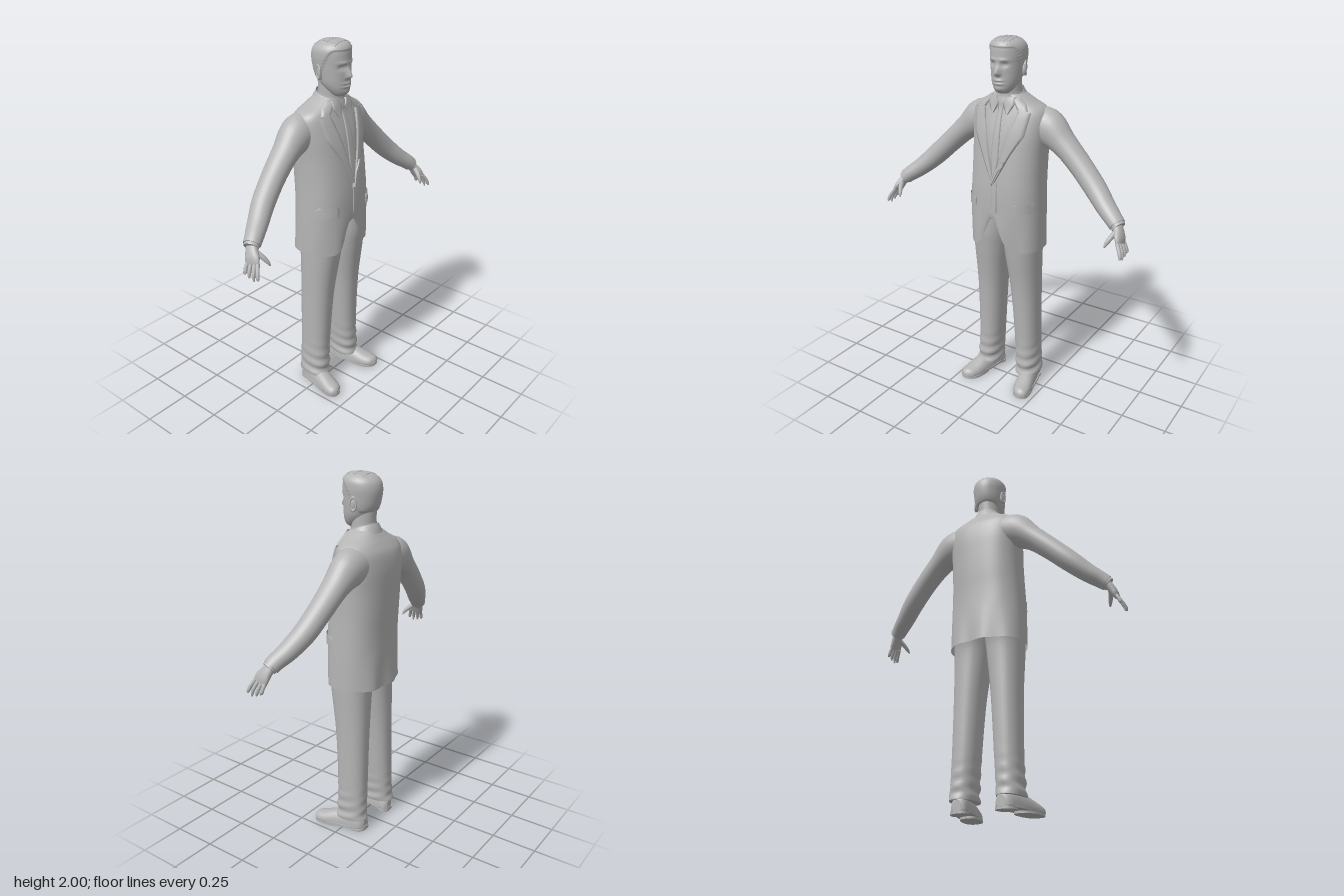
import * as THREE from 'three';

const cloth = new THREE.MeshStandardMaterial({ color: 0xb4b4b4, side: THREE.DoubleSide });
cloth.name = 'plain grey';
const V = (x, y, z) => new THREE.Vector3(x, y, z);
const bell = (d, s) => Math.exp(-(d * d) / (s * s));
const step = THREE.MathUtils.smoothstep;

// Smoothly interpolate every entry of a key table; t runs 0..1
function sample(keys, t) {
  const f = t * (keys.length - 1), i = Math.min(Math.floor(f), keys.length - 2), k = f - i;
  const K = j => keys[Math.max(0, Math.min(keys.length - 1, j))];
  return K(i).map((b, n) => {
    const a = K(i - 1)[n], c = K(i + 1)[n], d = K(i + 2)[n];
    return b + 0.5 * k * (c - a + k * (2 * a - 5 * b + 4 * c - d + k * (3 * (b - c) + d - a)));
  });
}

// Key values at a given height
function atHeight(keys, y) {
  let lo = 0, hi = 1;
  for (let i = 0; i < 24; i++) {
    const m = (lo + hi) / 2;
    if (sample(keys, m)[0] < y) lo = m; else hi = m;
  }
  return sample(keys, lo);
}

// Skin a list of point rings, with optional end caps
function loft(rings, capStart, capEnd) {
  const n = rings[0].length, pts = rings.flat(), idx = [];
  for (let j = 0; j < rings.length - 1; j++) for (let i = 0; i < n; i++) {
    const a = j * n + i, b = j * n + (i + 1) % n;
    idx.push(a, a + n, b, b, a + n, b + n);
  }
  const cap = (ring, flip) => {
    const mid = ring.reduce((s, p) => s.add(p), V(0, 0, 0)).divideScalar(n), o = pts.length;
    pts.push(...ring, mid);
    for (let i = 0; i < n; i++) {
      const a = o + i, b = o + (i + 1) % n;
      idx.push(o + n, flip ? b : a, flip ? a : b);
    }
  };
  if (capStart) cap(rings[0], false);
  if (capEnd) cap(rings[rings.length - 1], true);
  const g = new THREE.BufferGeometry().setFromPoints(pts);
  g.setIndex(idx);
  g.computeVertexNormals();
  return g;
}

function ring(c, u, v, n, seg) {
  const pw = q => Math.sign(q) * Math.pow(Math.abs(q), 2 / n);
  return Array.from({ length: seg }, (_, i) => {
    const a = i / seg * Math.PI * 2;
    return c.clone().addScaledVector(u, pw(Math.cos(a))).addScaledVector(v, pw(Math.sin(a)));
  });
}

// Upright form; keys are [y, half width, front z, back z, centre x]
function column(keys, { rows = 24, seg = 32, n = 2.3, caps = [1, 1], deform } = {}) {
  const rings = [];
  for (let j = 0; j <= rows; j++) {
    const [y, rx, zf, zb, cx = 0] = sample(keys, j / rows);
    const r = ring(V(cx, y, (zf + zb) / 2), V(rx, 0, 0), V(0, 0, (zf - zb) / 2), n, seg);
    if (deform) r.forEach(deform);
    rings.push(r);
  }
  return loft(rings, ...caps);
}

// Limb along a path; keys are [x, y, z, radius across, radius along ref]
function limb(keys, { rows = 16, seg = 18, n = 2, ref = V(0, 0, 1), deform } = {}) {
  const rings = [], pos = t => V(...sample(keys, t).slice(0, 3));
  for (let j = 0; j <= rows; j++) {
    const t = j / rows, k = sample(keys, t);
    const dir = pos(Math.min(1, t + 0.01)).sub(pos(Math.max(0, t - 0.01))).normalize();
    const u = dir.clone().cross(ref).normalize(), v = u.clone().cross(dir);
    const r = ring(pos(t), u.multiplyScalar(k[3]), v.multiplyScalar(k[4]), n, seg);
    if (deform) r.forEach(deform);
    rings.push(r);
  }
  return loft(rings, true, true);
}

function mirrored(g) {
  const m = g.clone().scale(-1, 1, 1), a = m.index.array;
  for (let i = 0; i < a.length; i += 3) [a[i], a[i + 1]] = [a[i + 1], a[i]];
  m.computeVertexNormals();
  return m;
}

const jacketKeys = [
  [0.88, 0.212, 0.138, -0.178], [0.98, 0.21, 0.142, -0.176], [1.1, 0.207, 0.143, -0.174],
  [1.2, 0.204, 0.141, -0.176], [1.3, 0.202, 0.132, -0.182], [1.42, 0.204, 0.116, -0.186],
  [1.52, 0.212, 0.098, -0.186], [1.6, 0.215, 0.074, -0.174], [1.645, 0.195, 0.058, -0.15],
  [1.68, 0.135, 0.05, -0.125], [1.715, 0.08, 0.04, -0.1]];
const headKeys = [
  [1.722, 0.03, 0.068, 0.01], [1.735, 0.045, 0.082, -0.01], [1.76, 0.062, 0.09, -0.045],
  [1.79, 0.074, 0.092, -0.075], [1.83, 0.081, 0.093, -0.098], [1.88, 0.086, 0.094, -0.11],
  [1.92, 0.089, 0.094, -0.112], [1.955, 0.085, 0.09, -0.102], [1.98, 0.067, 0.075, -0.075],
  [1.994, 0.035, 0.045, -0.04], [1.996, 0.008, 0.012, -0.01]];

const jacketZ = (x, y) => {
  const [, rx, zf, zb] = atHeight(jacketKeys, y), q = Math.min(1, Math.abs(x / rx));
  return (zf + zb) / 2 + (zf - zb) / 2 * Math.pow(1 - Math.pow(q, 2.5), 1 / 2.5);
};

// Panel lying on the jacket front; rows are [y, x0, x1], running downward
function panel(rows, lift) {
  const cols = [0, 0, 0.2, 0.4, 0.6, 0.8, 1, 1], n = cols.length, pts = [], idx = [];
  const steps = (rows.length - 1) * 4;
  for (let j = 0; j <= steps; j++) {
    const f = j / 4, i = Math.min(Math.floor(f), rows.length - 2);
    const [y, a, b] = rows[i].map((p, k) => p + (rows[i + 1][k] - p) * (f - i));
    cols.forEach((c, k) => {
      const x = a + (b - a) * c;
      pts.push(V(x, y, jacketZ(x, y) + (k === 0 || k === n - 1 ? -0.002 : lift)));
    });
  }
  for (let j = 0; j < steps; j++) for (let k = 0; k < n - 1; k++) {
    const o = j * n + k;
    idx.push(o, o + n, o + 1, o + 1, o + n, o + n + 1);
  }
  const g = new THREE.BufferGeometry().setFromPoints(pts);
  g.setIndex(idx);
  g.computeVertexNormals();
  return g;
}

// Facial relief and raised hair
function sculpt(p) {
  const { x, y, z } = p, ax = Math.abs(x);
  if (z > 0.03) {
    p.z += 0.027 * bell(x, 0.014) * bell(y - 1.826, y > 1.826 ? 0.036 : 0.011);
    p.z -= 0.011 * bell(ax - 0.034, 0.017) * bell(y - 1.87, 0.012);
    p.z += 0.004 * bell(ax - 0.033, 0.008) * bell(y - 1.868, 0.006);
    p.z += 0.005 * bell(ax - 0.03, 0.03) * bell(y - 1.893, 0.009);
    p.z += 0.007 * bell(x, 0.026) * (bell(y - 1.79, 0.008) + bell(y - 1.774, 0.007));
    p.z -= 0.005 * bell(x, 0.026) * bell(y - 1.782, 0.003);
    p.z += 0.005 * bell(x, 0.025) * bell(y - 1.747, 0.012);
  }
  const line = 1.8 + 0.15 * step(z, -0.05, 0.06), grow = 1 + 0.06 * step(y, line, line + 0.01);
  p.x *= grow;
  p.z *= grow;
}

const crownY = (x, z) => {
  for (let y = 1.996; y > 1.85; y -= 0.001) {
    const [, rx, zf, zb] = atHeight(headKeys, y);
    if ((x / rx) ** 2 + ((z - (zf + zb) / 2) / ((zf - zb) / 2)) ** 2 < 1.12) return y;
  }
  return 1.85;
};

export function createModel() {
  const model = new THREE.Group();
  const add = (name, g) => {
    const m = new THREE.Mesh(g, cloth);
    m.name = name;
    model.add(m);
  };
  const pair = (name, g) => { add('left' + name, g); add('right' + name, mirrored(g)); };

  // Jacket body, with the front hem cut away in a curve
  add('jacket', column(jacketKeys, { rows: 44, seg: 72, n: 2.5, caps: [0, 1], deform: p => {
    if (p.y > 1.1) return;
    const low = 1.1 - p.y;
    if (p.z > 0) p.y += low * 0.85 * bell(p.x + 0.01, 0.035 + low * 0.12);
    p.z += 0.03 * low * Math.sin(p.x * 40);
  } }));
  add('shirt', panel([[1.7, -0.06, 0.06], [1.65, -0.1, 0.1], [1.5, -0.06, 0.06], [1.28, -0.005, 0.005]], 0.004));
  add('tie', panel([[1.675, -0.022, 0.022], [1.635, -0.012, 0.012], [1.5, -0.02, 0.02], [1.38, -0.022, 0.022], [1.28, -0.004, 0.004]], 0.009));
  pair('Lapel', panel([[1.635, 0.1, 0.16], [1.6, 0.09, 0.157], [1.52, 0.066, 0.145], [1.42, 0.04, 0.085], [1.34, 0.016, 0.045], [1.26, -0.006, 0.002]], 0.012));
  pair('CollarFront', panel([[1.7, 0.06, 0.09], [1.67, 0.08, 0.128], [1.642, 0.1, 0.145]], 0.012));
  pair('ShirtCollar', panel([[1.705, 0.03, 0.07], [1.67, 0.012, 0.075], [1.62, 0.04, 0.046]], 0.014));
  add('lapelFold', panel([[1.385, 0.045, 0.06], [1.36, 0.03, 0.058], [1.33, 0.01, 0.03], [1.25, -0.012, -0.008]], 0.018));
  add('frontOverlap', panel([[1.27, -0.01, 0.02], [1.1, -0.012, 0.02]], 0.004));
  pair('PocketFlap', panel([[1.165, 0.12, 0.19], [1.15, 0.115, 0.2], [1.11, 0.118, 0.2]], 0.01));

  // Standing collar, higher at the nape
  const collar = (keys, tilt) => column(keys, { rows: 6, caps: [0, 0], n: 2, deform: p => { p.y -= (p.z + 0.02) * tilt; } });
  add('jacketCollar', collar([[1.67, 0.105, 0.066, -0.115], [1.7, 0.088, 0.062, -0.105], [1.725, 0.074, 0.054, -0.094]], 0.3));
  add('shirtCollarBand', collar([[1.68, 0.072, 0.058, -0.09], [1.735, 0.067, 0.05, -0.086]], 0.28));

  // Head
  add('neck', column([[1.62, 0.066, 0.045, -0.085], [1.72, 0.062, 0.045, -0.083], [1.82, 0.062, 0.05, -0.09]], { rows: 8, n: 2 }));
  add('head', column(headKeys, { rows: 90, seg: 72, n: 2.05, deform: sculpt }));
  const ear = new THREE.SphereGeometry(1, 16, 12).scale(0.01, 0.036, 0.02).rotateY(0.35).rotateX(-0.15).translate(0.088, 1.842, -0.018);
  pair('Ear', ear);
  pair('EarRim', new THREE.TorusGeometry(0.02, 0.005, 8, 20).scale(0.85, 1.6, 1).rotateY(Math.PI / 2 + 0.35).translate(0.094, 1.846, -0.02));
  const strand = (name, pts) => add(name, new THREE.TubeGeometry(new THREE.CatmullRomCurve3(pts), 16, 0.003, 6));
  const span = Array.from({ length: 7 }, (_, i) => i / 6);
  for (const x of [-0.045, -0.022, 0, 0.022, 0.045])
    strand('hairStrand', span.map(t => V(x, crownY(x, 0.075 - t * 0.16), 0.075 - t * 0.16)));
  for (const z of [-0.055, 0, 0.055])
    strand('hairPart', span.map(t => V(t * 0.12 - 0.06, crownY(t * 0.12 - 0.06, z), z)));

  // Sleeves and hands
  pair('Sleeve', limb([[0.1, 1.555, -0.07, 0.085, 0.085], [0.2, 1.545, -0.07, 0.1, 0.088], [0.3, 1.475, -0.063, 0.068, 0.072],
    [0.4, 1.385, -0.052, 0.06, 0.064], [0.5, 1.288, -0.03, 0.057, 0.06], [0.58, 1.215, 0.005, 0.05, 0.054],
    [0.64, 1.17, 0.035, 0.044, 0.048], [0.668, 1.147, 0.047, 0.041, 0.045]], { rows: 36, seg: 28 }));
  pair('ShirtCuff', limb([[0.65, 1.163, 0.04, 0.037, 0.041], [0.678, 1.139, 0.051, 0.036, 0.039]], { rows: 3 }));
  pair('Palm', limb([[0.66, 1.155, 0.045, 0.024, 0.028], [0.682, 1.125, 0.06, 0.022, 0.034], [0.698, 1.095, 0.076, 0.019, 0.043],
    [0.707, 1.07, 0.086, 0.013, 0.042]], { n: 2.3 }));
  [[-0.032, 1.028], [-0.011, 1.008], [0.011, 1.0], [0.032, 1.012]].forEach(([k, tip], i) => {
    const z = 0.085 + k;
    pair('Finger' + (i + 1), limb([[0.703, 1.08, z, 0.01, 0.01], [0.722, 1.05, z + 0.008 + k * 0.2, 0.01, 0.01],
      [0.732, 1.025, z + 0.014 + k * 0.3, 0.009, 0.009], [0.734, tip, z + 0.018 + k * 0.35, 0.004, 0.004]], { rows: 9, seg: 10 }));
  });
  pair('Thumb', limb([[0.68, 1.13, 0.07, 0.013, 0.015], [0.664, 1.1, 0.108, 0.013, 0.014], [0.652, 1.075, 0.13, 0.01, 0.01],
    [0.645, 1.055, 0.142, 0.004, 0.004]], { rows: 9, seg: 10 }));

  // Trousers, creased above the shoes
  pair('TrouserLeg', column([[0.07, 0.068, 0.058, -0.127, 0.133], [0.13, 0.066, 0.056, -0.122, 0.13], [0.3, 0.069, 0.054, -0.12, 0.122],
    [0.6, 0.079, 0.07, -0.12, 0.111], [0.85, 0.096, 0.103, -0.125, 0.099], [0.97, 0.1, 0.115, -0.145, 0.095], [1.15, 0.095, 0.105, -0.145, 0.095]],
  { rows: 60, seg: 32, deform: p => {
    const w = 0.004 * (1 - step(p.y, 0.1, 0.35)) * Math.sin(p.y * 95 + p.z * 18);
    p.x += w * Math.sign(p.x - 0.13);
    p.z += w;
  } }));

  // Shoes, toes turned outward
  const turn = p => { p.x += (p.z + 0.03) * 0.2; };
  pair('Shoe', limb([[0.14, 0.02, -0.122, 0.022, 0.05], [0.14, 0.02, -0.1, 0.044, 0.075], [0.14, 0.02, -0.03, 0.05, 0.085],
    [0.14, 0.02, 0.05, 0.054, 0.07], [0.142, 0.02, 0.12, 0.053, 0.046], [0.143, 0.02, 0.165, 0.04, 0.034], [0.143, 0.02, 0.182, 0.012, 0.015]],
  { rows: 30, seg: 28, ref: V(0, 1, 0), n: 2.2, deform: p => { p.y = Math.max(p.y, 0.016); turn(p); } }));
  const slab = (y0, y1, rx, zf, zb) => column([[y0, rx, zf, zb, 0.141], [y1, rx, zf, zb, 0.141]], { rows: 1, n: 2.5, deform: turn });
  pair('Sole', slab(0.012, 0.026, 0.057, 0.186, -0.127));
  pair('SoleFront', slab(0, 0.014, 0.055, 0.18, 0.01));
  pair('Heel', slab(0, 0.014, 0.05, -0.04, -0.126));
  return model;
}
